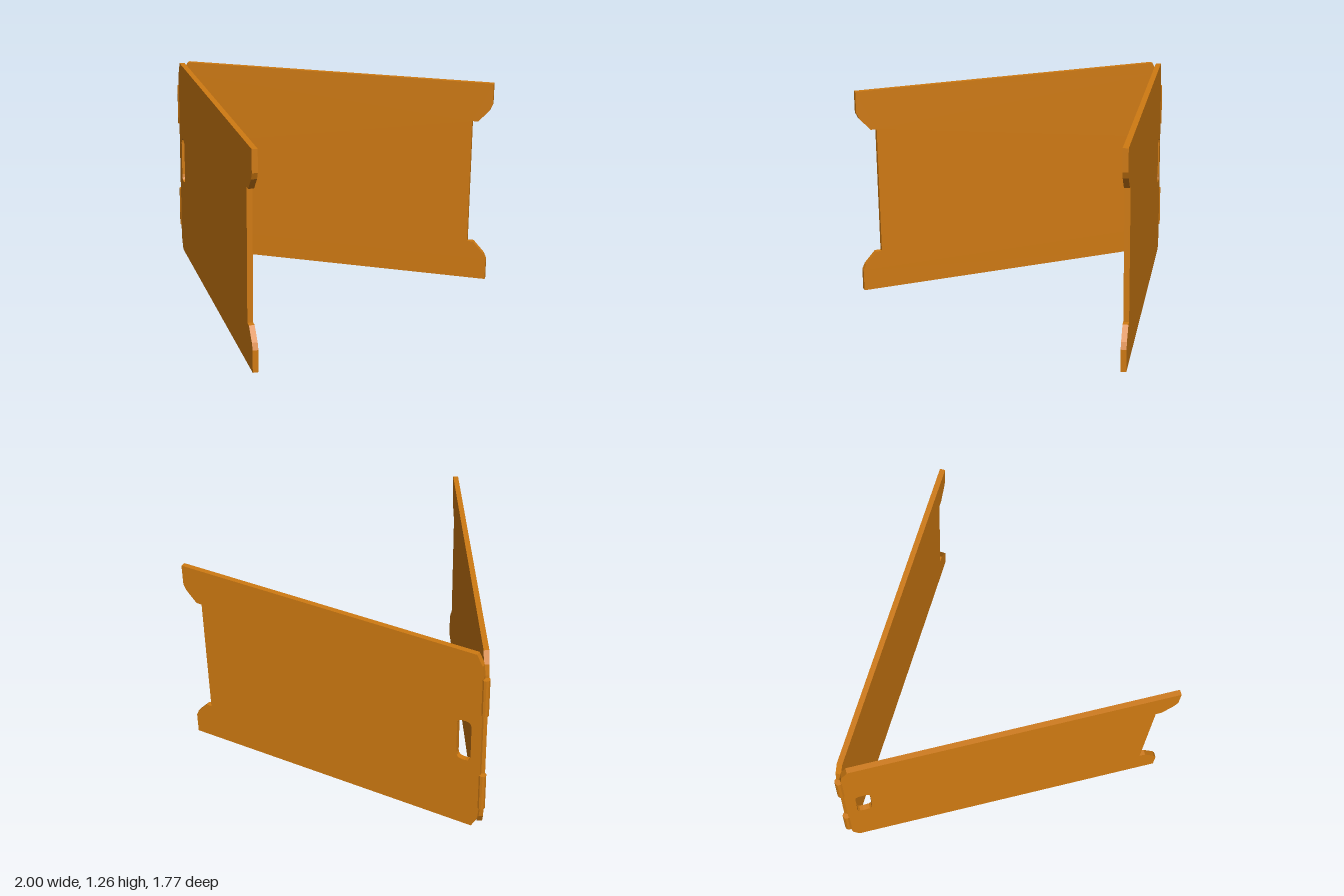
import * as THREE from 'three';

const H = 1.256;        // panel height
const L = 2.0;          // panel length measured from the hinge axis
const T = 0.032;        // board thickness
const HINGE_Z = -0.863;
const HALF_ANGLE = THREE.MathUtils.degToRad(29.5);

// Board outline: chamfered at the hinge, with two feet around a recess at the free end
function panelGeometry() {
  const lower = [
    [0.01, 0.14], [0.018, 0.07], [0.055, 0],
    [L, 0], [L, 0.13], [1.983, 0.168], [1.916, 0.241], [1.88, 0.241],
  ];
  const upper = lower.map(([s, y]) => [s, H - y]).reverse();
  const shape = new THREE.Shape([...lower, ...upper].map(([s, y]) => new THREE.Vector2(s, y)));

  // Hand slot with rounded corners
  const s0 = 0.073, s1 = 0.164, y0 = 0.488, y1 = 0.773, r = 0.036;
  const slot = new THREE.Path();
  slot.moveTo(s0 + r, y0);
  slot.lineTo(s1 - r, y0);
  slot.quadraticCurveTo(s1, y0, s1, y0 + r);
  slot.lineTo(s1, y1 - r);
  slot.quadraticCurveTo(s1, y1, s1 - r, y1);
  slot.lineTo(s0 + r, y1);
  slot.quadraticCurveTo(s0, y1, s0, y1 - r);
  slot.lineTo(s0, y0 + r);
  slot.quadraticCurveTo(s0, y0, s0 + r, y0);
  shape.holes.push(slot);

  const geo = new THREE.ExtrudeGeometry(shape, { depth: T, bevelEnabled: false, curveSegments: 3 });
  return geo.translate(0, 0, -T / 2);
}

export function createModel() {
  const model = new THREE.Group();
  model.name = 'foldingScreen';
  const material = new THREE.MeshStandardMaterial({ color: 0xcf7a12, flatShading: true });

  // Two mirrored boards opening from the hinge
  const geo = panelGeometry();
  for (const [name, side] of [['leftPanel', 1], ['rightPanel', -1]]) {
    const panel = new THREE.Mesh(geo, material);
    panel.name = name;
    panel.position.z = HINGE_Z;
    panel.rotation.y = -Math.PI / 2 + side * HALF_ANGLE;
    model.add(panel);
  }

  // Hinge knuckles
  const knuckleGeo = new THREE.CylinderGeometry(0.023, 0.023, 0.25, 10);
  for (const [name, y] of [['lowerHinge', 0.283], ['upperHinge', 0.973]]) {
    const knuckle = new THREE.Mesh(knuckleGeo, material);
    knuckle.name = name;
    knuckle.position.set(0, y, HINGE_Z);
    model.add(knuckle);
  }
  return model;
}
